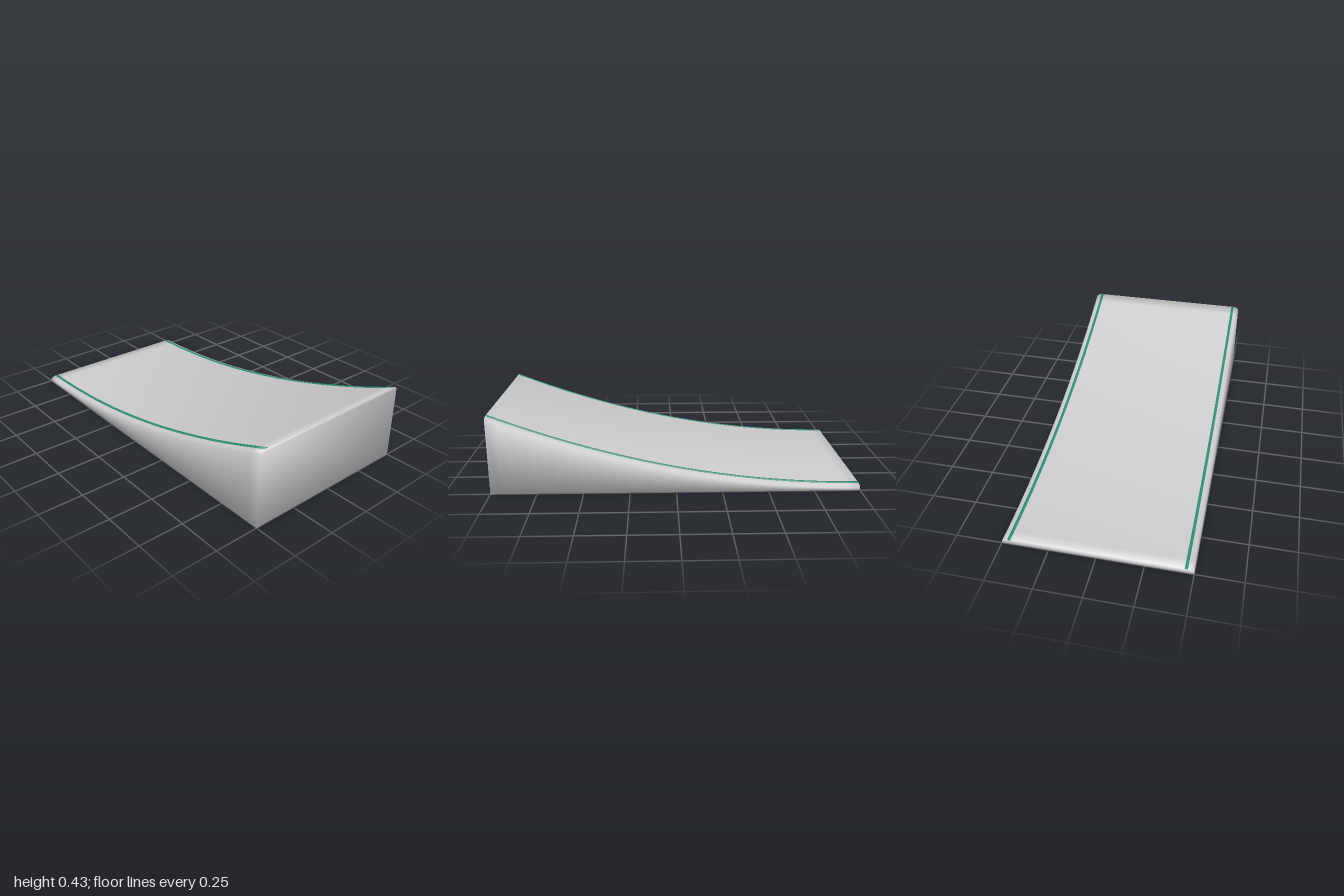
import * as THREE from 'three';

const SEGMENTS = 32;
const rampHeight = (z) => 0.03 + 0.1 * (z + 1) ** 2;

// Half section (right side, bottom to top) completed by mirroring about x = cx
function mirrored(half, cx = 0) {
  const right = half.map(([x, y]) => [cx + x, y]);
  const left = half.map(([x, y]) => [cx - x, y]).reverse();
  return [...right, ...left];
}

// Smooth normals weighted by corner angle
function smoothByAngle(geometry) {
  const pos = geometry.attributes.position, index = geometry.index.array;
  const point = (i) => new THREE.Vector3().fromBufferAttribute(pos, i);
  const normals = Array.from({ length: pos.count }, () => new THREE.Vector3());
  for (let f = 0; f < index.length; f += 3) {
    for (let k = 0; k < 3; k++) {
      const [a, b, c] = [0, 1, 2].map((j) => index[f + ((k + j) % 3)]);
      const u = point(b).sub(point(a)), v = point(c).sub(point(a));
      const angle = u.angleTo(v);
      normals[a].addScaledVector(u.cross(v).normalize(), angle);
    }
  }
  const data = normals.flatMap((n) => n.normalize().toArray());
  geometry.setAttribute('normal', new THREE.Float32BufferAttribute(data, 3));
  return geometry;
}

// Closed solid lofted from back to front through section(z)
function loft(section) {
  const positions = [], index = [];
  const n = section(0).length;
  for (let s = 0; s <= SEGMENTS; s++) {
    const z = -1 + (2 * s) / SEGMENTS;
    for (const [x, y] of section(z)) positions.push(x, y, z);
  }
  for (let s = 0; s < SEGMENTS; s++) {
    for (let i = 0; i < n; i++) {
      const a = s * n + i, b = s * n + ((i + 1) % n);
      index.push(a, b, b + n, a, b + n, a + n);
    }
  }
  // End caps, joining mirrored points in horizontal bands
  const front = SEGMENTS * n;
  for (let i = 0; i < n / 2 - 1; i++) {
    const a = i, b = i + 1, c = n - 2 - i, d = n - 1 - i;
    index.push(front + a, front + b, front + c, front + a, front + c, front + d);
    index.push(a, c, b, a, d, c);
  }
  const geometry = new THREE.BufferGeometry();
  geometry.setAttribute('position', new THREE.Float32BufferAttribute(positions, 3));
  geometry.setIndex(index);
  return smoothByAngle(geometry);
}

export function createModel() {
  const model = new THREE.Group();
  model.name = 'curvedRamp';

  // Ramp body with softened top edges
  const body = new THREE.Mesh(
    loft((z) => {
      const h = rampHeight(z);
      return mirrored([[0.5, 0], [0.5, h - 0.018], [0.49, h - 0.006], [0.465, h]]);
    }),
    new THREE.MeshStandardMaterial({ color: 0xcccccc })
  );
  body.name = 'rampBody';
  model.add(body);

  // Thin coloured strips along both edges
  const stripMaterial = new THREE.MeshStandardMaterial({ color: 0x339980 });
  for (const [name, x] of [['leftEdgeStrip', 0.46], ['rightEdgeStrip', -0.46]]) {
    const strip = new THREE.Mesh(
      loft((z) => {
        const h = rampHeight(z);
        return mirrored([[0.008, h - 0.004], [0.008, h + 0.003]], x);
      }),
      stripMaterial
    );
    strip.name = name;
    model.add(strip);
  }
  return model;
}
